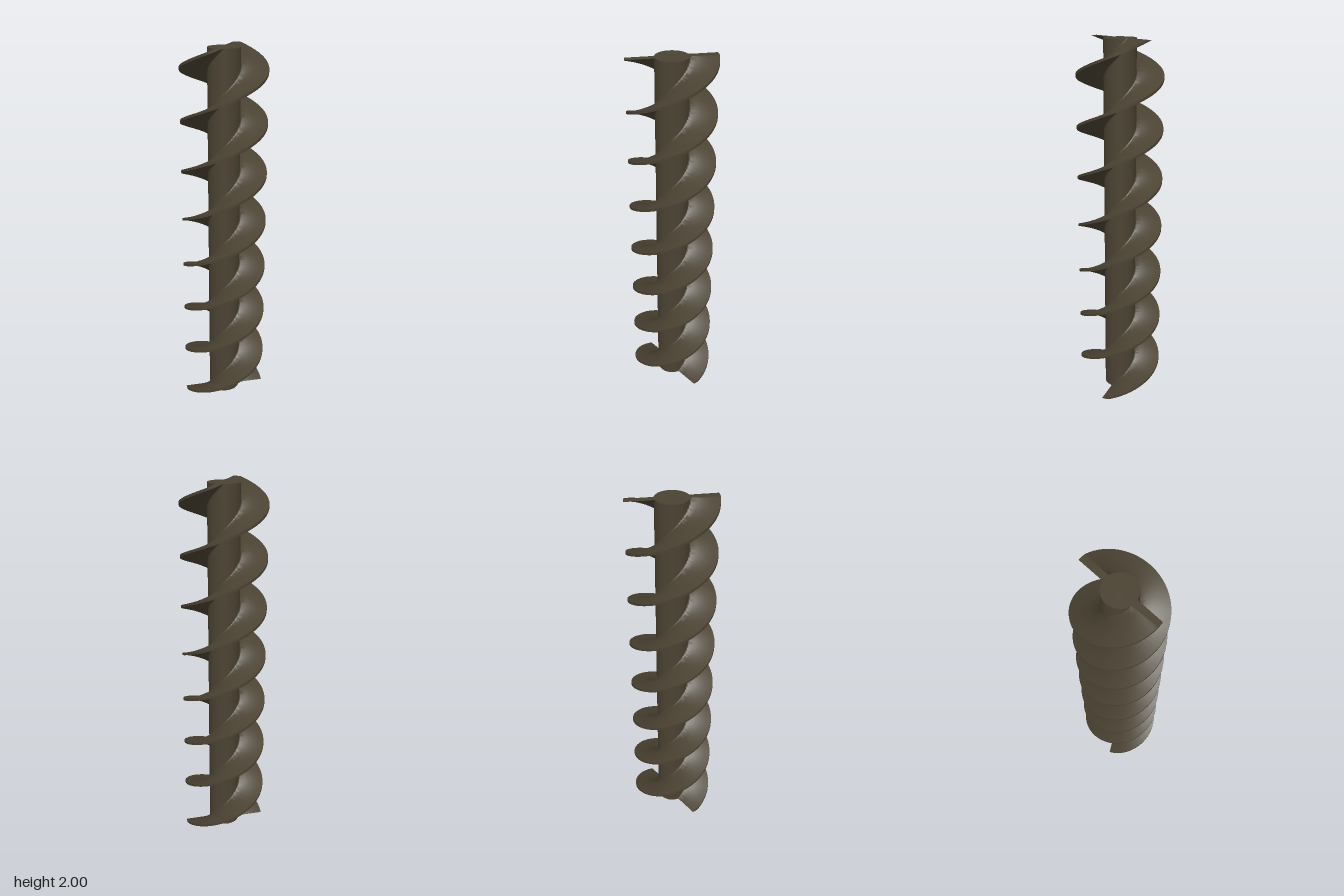
import * as THREE from 'three';
import { toCreasedNormals } from 'three/addons/utils/BufferGeometryUtils.js';

const HEIGHT = 2, SHAFT_R = 0.086, RIM_R = 0.23;
const HALF_WIDTH = 0.0185, FILLET = 0.012;
const START = THREE.MathUtils.degToRad(-62.8);
const TWIST = THREE.MathUtils.degToRad(1319.4);

// Horizontal section of one flight: filleted root, straight sides, round rim
function flightShape() {
  const r = SHAFT_R - 0.0005;
  const cx = HALF_WIDTH + FILLET;
  const cy = Math.sqrt((r + FILLET) ** 2 - cx ** 2);
  const rootAngle = Math.atan2(-cy, -cx);
  const side = [];
  for (let i = 0; i <= 5; i++) {
    const a = THREE.MathUtils.lerp(rootAngle, -Math.PI, i / 5);
    side.push(new THREE.Vector2(cx + FILLET * Math.cos(a), cy + FILLET * Math.sin(a)));
  }
  const tip = Math.sqrt(RIM_R ** 2 - HALF_WIDTH ** 2);
  for (let i = 1; i <= 5; i++) {
    side.push(new THREE.Vector2(HALF_WIDTH, THREE.MathUtils.lerp(cy, tip, i / 5)));
  }
  const rim = [];
  const half = Math.asin(HALF_WIDTH / RIM_R);
  for (const t of [0.5, 0, -0.5]) {
    rim.push(new THREE.Vector2(RIM_R * Math.sin(half * t), RIM_R * Math.cos(half * t)));
  }
  const mirrored = side.map((p) => new THREE.Vector2(-p.x, p.y)).reverse();
  return new THREE.Shape([...side, ...rim, ...mirrored]);
}

// Extrude the section upward and twist it about the axis
function flightGeometry() {
  const geo = new THREE.ExtrudeGeometry(flightShape(), {
    depth: HEIGHT, steps: 440, bevelEnabled: false,
  });
  geo.rotateX(-Math.PI / 2);
  const pos = geo.attributes.position;
  const up = new THREE.Vector3(0, 1, 0);
  const v = new THREE.Vector3();
  for (let i = 0; i < pos.count; i++) {
    v.fromBufferAttribute(pos, i);
    v.applyAxisAngle(up, START + TWIST * v.y / HEIGHT);
    pos.setXYZ(i, v.x, v.y, v.z);
  }
  return toCreasedNormals(geo, 0.6);
}

export function createModel() {
  const group = new THREE.Group();
  group.name = 'augerScrew';
  const metal = new THREE.MeshStandardMaterial({ color: 0x4a4232 });
  metal.name = 'dark bronze';

  // Central shaft
  const shaft = new THREE.Mesh(new THREE.CylinderGeometry(SHAFT_R, SHAFT_R, HEIGHT, 96), metal);
  shaft.name = 'shaft';
  shaft.position.y = HEIGHT / 2;
  group.add(shaft);

  // Two opposite helical flights
  const geo = flightGeometry();
  for (let i = 0; i < 2; i++) {
    const flight = new THREE.Mesh(geo, metal);
    flight.name = i ? 'secondFlight' : 'firstFlight';
    flight.rotation.y = i * Math.PI;
    group.add(flight);
  }
  return group;
}
